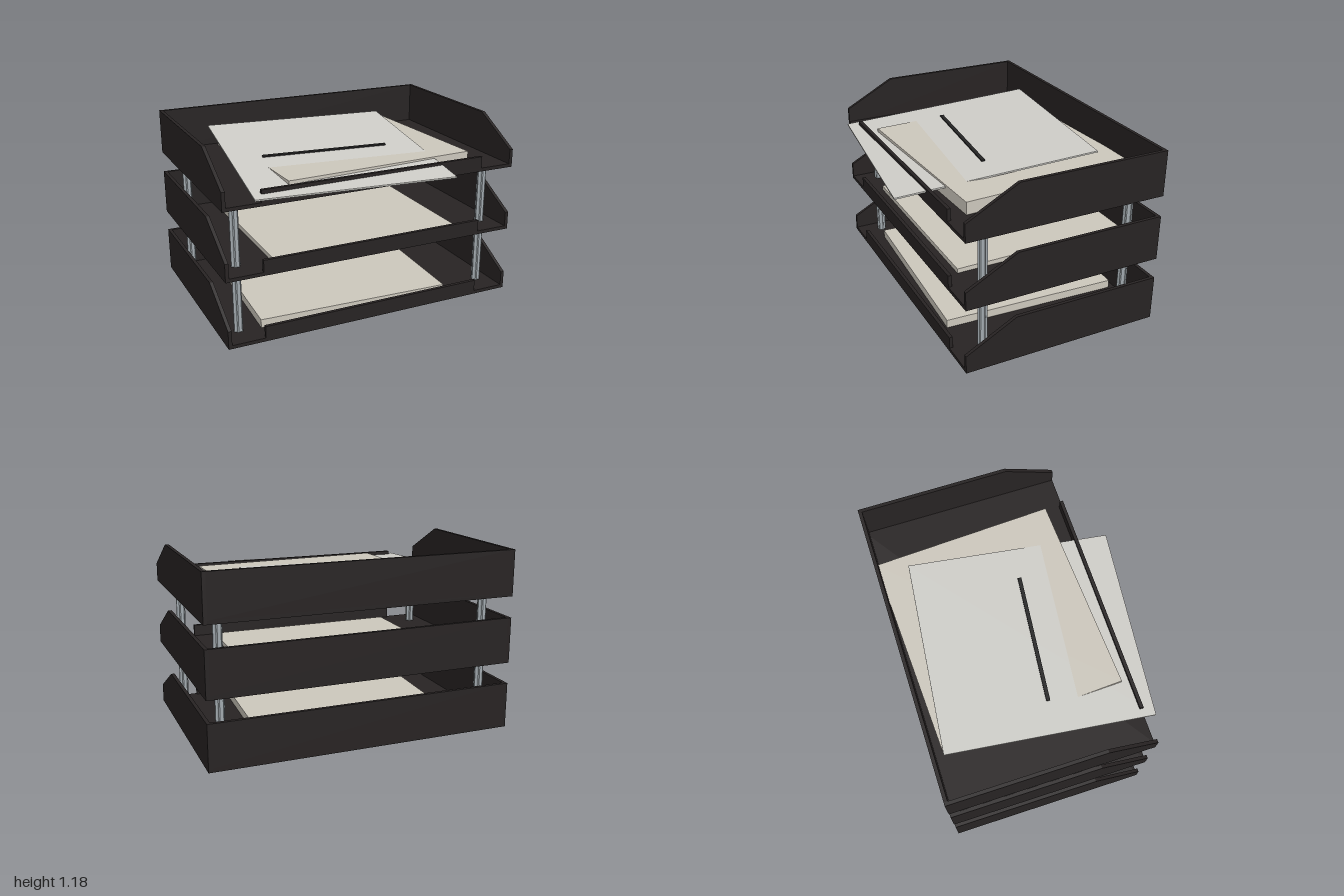
import * as THREE from 'three';

const mat = (color) => new THREE.MeshStandardMaterial({ color });
const trayMat = mat(0x272323);
const postMat = mat(0xa3abb0);
const stackMat = mat(0xcdc8bd);
const sheetMat = mat(0xcfcec9);
const barMat = mat(0x242424);

const BACK = -0.76, FRONT = 0.57, WALL = 0.023, HEIGHT = 0.3, LEVEL = 0.44;

function box(name, material, size, pos) {
  const mesh = new THREE.Mesh(new THREE.BoxGeometry(...size), material);
  mesh.position.set(...pos);
  mesh.name = name;
  return mesh;
}

// Side wall: full height at the back, sloping down toward the front
function sideWall(x) {
  const shape = new THREE.Shape([
    [-FRONT, 0], [-BACK, 0], [-BACK, HEIGHT], [-0.235, HEIGHT], [-FRONT, 0.12],
  ].map(([a, b]) => new THREE.Vector2(a, b)));
  const geo = new THREE.ExtrudeGeometry(shape, { depth: WALL, bevelEnabled: false });
  geo.rotateY(Math.PI / 2); // shape x becomes -z, depth becomes +x
  const mesh = new THREE.Mesh(geo, trayMat);
  mesh.position.x = x;
  mesh.name = 'sideWall';
  return mesh;
}

function tray() {
  const group = new THREE.Group();
  group.name = 'tray';
  const inner = 2 - 2 * WALL, mid = (BACK + FRONT) / 2;
  group.add(
    box('floor', trayMat, [inner, WALL, FRONT - BACK], [0, WALL / 2, mid]),
    box('backWall', trayMat, [inner, HEIGHT - WALL, WALL], [0, (HEIGHT + WALL) / 2, BACK + WALL / 2]),
    box('frontLip', trayMat, [1.52, 0.1 - WALL, WALL], [0, (0.1 + WALL) / 2, FRONT - WALL / 2]),
    sideWall(-1), sideWall(1 - WALL),
  );
  return group;
}

// Fluted post running from the lowest floor to the top tray
function post(x, z) {
  const pts = [];
  for (let i = 0; i < 24; i++) {
    const a = (i / 24) * Math.PI * 2, r = i % 4 < 2 ? 0.03 : 0.024;
    pts.push(new THREE.Vector2(Math.cos(a) * r, Math.sin(a) * r));
  }
  const geo = new THREE.ExtrudeGeometry(new THREE.Shape(pts), {
    depth: 2 * LEVEL - WALL, bevelEnabled: false,
  });
  geo.rotateX(-Math.PI / 2);
  const mesh = new THREE.Mesh(geo, postMat);
  mesh.position.set(x, WALL, z);
  mesh.name = 'post';
  return mesh;
}

export function createModel() {
  const model = new THREE.Group();
  model.name = 'letterTrays';

  // Three stacked trays, each with a paper stack
  const stacks = [
    { x: -0.065, z: -0.13, h: 0.055, turn: -0.045 },
    { x: -0.01, z: -0.14, h: 0.03, turn: 0 },
    { x: 0.06, z: -0.125, h: 0.082, turn: 0.048 },
  ];
  stacks.forEach(({ x, z, h, turn }, i) => {
    const t = tray();
    t.position.y = i * LEVEL;
    const paper = box('paperStack', stackMat, [1.3, h, 1.19], [x, WALL + h / 2, z]);
    paper.rotation.y = turn;
    t.add(paper);
    model.add(t);
  });

  for (const x of [-0.88, 0.88]) for (const z of [-0.595, 0.405]) model.add(post(x, z));

  // Loose tilted sheet hanging over the front, with a dark bar lying on it
  const sheet = new THREE.Group();
  sheet.name = 'looseSheet';
  sheet.add(
    box('sheet', sheetMat, [1.27, 0.01, 1.33], [0, 0, 0]),
    box('bar', barMat, [0.845, 0.012, 0.024], [0, 0.008, 0.025]),
  );
  sheet.position.set(-0.122, 0.997, 0.04);
  sheet.rotation.set(0.08, -0.104, 0, 'YXZ');
  model.add(sheet);

  return model;
}
